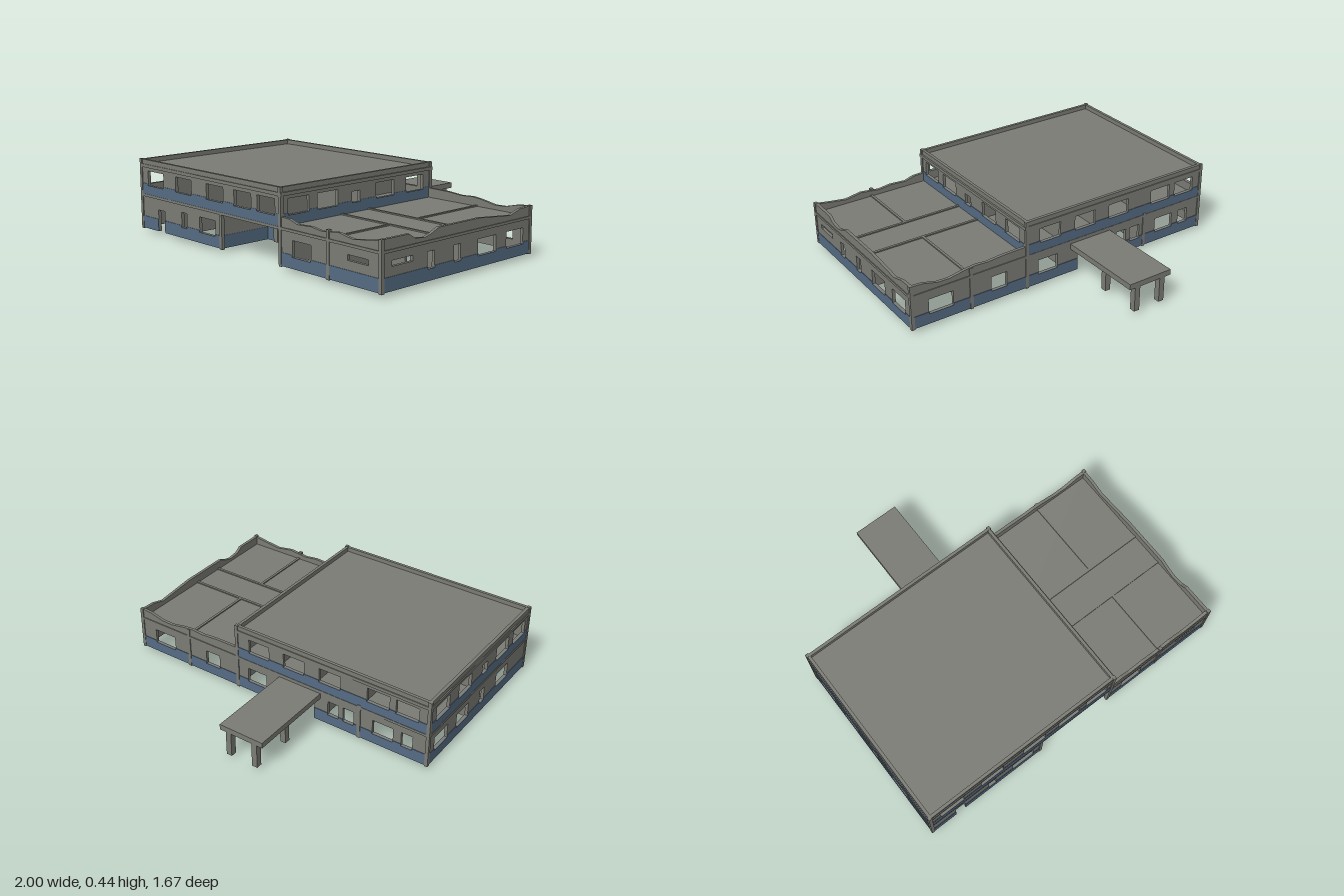
import * as THREE from 'three';
import { mergeGeometries } from 'three/addons/utils/BufferGeometryUtils.js';

const grey = new THREE.MeshStandardMaterial({ color: 0x7c7c76 });
grey.name = 'concrete grey';
const blue = new THREE.MeshStandardMaterial({ color: 0x566c84 });
blue.name = 'dado blue';

const X0 = -0.995, X1 = 0.995, XM = 0.27, Z0 = -0.305, Z1 = 0.83, T = 0.018;
const G0 = 0.025, G1 = 0.215, U0 = 0.23, U1 = 0.395; // storey heights

export function createModel() {
  const model = new THREE.Group();

  function add(name, geos, mat) {
    const mesh = new THREE.Mesh(geos.length > 1 ? mergeGeometries(geos) : geos[0], mat);
    mesh.name = name;
    model.add(mesh);
    return mesh;
  }
  const box = (x0, x1, y0, y1, z0, z1) =>
    new THREE.BoxGeometry(Math.abs(x1 - x0), y1 - y0, Math.abs(z1 - z0))
      .translate((x0 + x1) / 2, (y0 + y1) / 2, (z0 + z1) / 2);
  const along = (axis, u0, u1, y0, y1, c0, c1) =>
    axis === 'x' ? box(u0, u1, y0, y1, c0, c1) : box(c0, c1, y0, y1, u0, u1);

  // Boxes that fill a wall area around its openings [u0, u1, y0, y1]
  function pierced(axis, u0, u1, y0, y1, c0, c1, holes) {
    const cuts = [u0, u1, ...holes.flatMap(h => [h[0], h[1]])]
      .filter(u => u >= u0 && u <= u1).sort((a, b) => a - b);
    const out = [];
    for (let i = 0; i + 1 < cuts.length; i++) {
      const a = cuts[i], b = cuts[i + 1];
      if (b - a < 1e-4) continue;
      const h = holes.find(o => o[0] < (a + b) / 2 && o[1] > (a + b) / 2);
      const spans = h ? [[y0, Math.min(y1, h[2])], [Math.max(y0, h[3]), y1]] : [[y0, y1]];
      for (const [p, q] of spans) if (q - p > 1e-4) out.push(along(axis, a, b, p, q, c0, c1));
    }
    return out;
  }

  // Outer wall with a blue lower band; side is the outward direction
  function outerWall(name, axis, u0, u1, c, side, upper, holes) {
    const y0 = upper ? U0 : G0, y1 = upper ? U1 : G1, band = upper ? 0.294 : 0.097;
    add(name, pierced(axis, u0, u1, y0, y1, c - side * T, c, holes), grey);
    add(name + 'BlueBand', pierced(axis, u0, u1, y0, band, c, c + side * 0.003, holes), blue);
  }
  const win = (a, b) => [a, b, 0.085, 0.173];
  const high = (a, b) => [a, b, 0.283, 0.37];
  const slot = (a, b) => [a, b, 0.145, 0.174];
  const door = (a, b) => [a, b, G0, 0.152];

  // Ground floor shell, with an entrance recess in the front
  const RX0 = -0.235, RX1 = 0.262, RZ = 0.5;
  outerWall('frontLowerWallRight', 'x', X0, RX0, Z1, 1, false,
    [door(-0.83, -0.765), win(-0.6, -0.55), win(-0.43, -0.285)]);
  outerWall('frontLowerWallLeft', 'x', RX1, X1, Z1, 1, false, [win(0.36, 0.5), slot(0.765, 0.91)]);
  outerWall('recessBackWall', 'x', RX0, RX1, RZ, 1, false, [door(-0.045, 0.02)]);
  outerWall('recessRightWall', 'z', RZ, Z1, RX0, 1, false, []);
  outerWall('recessLeftWall', 'z', RZ, Z1, RX1, -1, false, []);
  outerWall('leftLowerWall', 'z', Z0, Z1, X1, 1, false,
    [win(-0.24, -0.1), win(-0.015, 0.13), win(0.265, 0.315), win(0.46, 0.51), slot(0.615, 0.76)]);
  outerWall('rightLowerWall', 'z', Z0, Z1, X0, -1, false,
    [win(-0.24, -0.1), win(0, 0.13), win(0.265, 0.315), win(0.46, 0.6)]);
  outerWall('backLowerWall', 'x', X0, X1, Z0, -1, false,
    [win(-0.9, -0.83), win(-0.78, -0.65), win(-0.53, -0.46), win(-0.43, -0.36), door(-0.27, -0.08),
      win(0.06, 0.19), win(0.4, 0.5), win(0.74, 0.89)]);

  // Upper floor shell
  const sideWindows = [high(-0.24, -0.1), high(0, 0.14), [0.265, 0.325, 0.283, 0.345],
    high(0.43, 0.575), high(0.635, 0.78)];
  outerWall('frontUpperWall', 'x', X0, XM, Z1, 1, true,
    [[-0.925, -0.77], [-0.65, -0.5], [-0.36, -0.21], [-0.115, 0.03], [0.08, 0.225]].map(w => high(...w)));
  outerWall('backUpperWall', 'x', X0, XM, Z0, -1, true,
    [[-0.93, -0.79], [-0.75, -0.61], [-0.44, -0.3], [-0.2, -0.06], [0.04, 0.18]].map(w => high(...w)));
  outerWall('leftUpperWall', 'z', Z0, Z1, XM, 1, true, sideWindows);
  outerWall('rightUpperWall', 'z', Z0, Z1, X0, -1, true, sideWindows);

  // Floor slab over the ground storey, roof slab and parapet over the upper one
  const e = 0.005;
  add('middleSlab', [box(X0 - e, X1 + e, G1, U0, Z0 - e, Z1 + e)], grey);
  add('roofSlab', [box(X0 - e, XM + 0.01, U1 - 0.006, 0.408, Z0 - e, Z1 + e)], grey);
  add('roofParapet', [
    box(X0, XM, 0.4, 0.435, Z1 - T, Z1), box(X0, XM, 0.4, 0.435, Z0, Z0 + T),
    box(X0, X0 + T, 0.4, 0.435, Z0, Z1), box(XM - T, XM, 0.4, 0.435, Z0, Z1)], grey);

  // Broken wing parapet: outline along u, extruded to wall thickness
  function brokenParapet(name, axis, c, pts) {
    const s = new THREE.Shape([[pts[0][0], U0], ...pts, [pts[pts.length - 1][0], U0]]
      .map(p => new THREE.Vector2(...p)));
    const g = new THREE.ExtrudeGeometry(s, { depth: T, bevelEnabled: false });
    if (axis === 'z') g.rotateY(-Math.PI / 2).translate(c, 0, 0);
    else g.translate(0, 0, c);
    add(name, [g], grey);
  }
  brokenParapet('wingFrontParapet', 'x', Z1 - T,
    [[XM, 0.283], [0.34, 0.28], [0.4, 0.262], [0.5, 0.268], [0.58, 0.258], [0.64, 0.265],
      [0.7, 0.272], [0.8, 0.255], [0.9, 0.268], [X1, 0.283]]);
  brokenParapet('wingBackParapet', 'x', Z0,
    [[XM, 0.285], [0.42, 0.283], [0.52, 0.275], [0.6, 0.28], [0.66, 0.274], [0.76, 0.256],
      [0.83, 0.258], [0.92, 0.28], [X1, 0.285]]);
  brokenParapet('wingLeftParapet', 'z', X1,
    [[Z0, 0.285], [-0.21, 0.28], [-0.13, 0.257], [0, 0.27], [0.12, 0.282], [0.43, 0.283],
      [0.49, 0.258], [0.53, 0.248], [0.6, 0.256], [0.64, 0.283], [Z1, 0.285]]);

  // Low upstands dividing the wing roof
  add('wingRoofUpstands', [
    box(XM, X1 - T, U0, 0.237, 0.19, 0.205), box(XM, X1 - T, U0, 0.237, 0.395, 0.41),
    box(0.625, 0.64, U0, 0.237, 0.41, Z1 - T), box(0.625, 0.64, U0, 0.237, Z0 + T, 0.19)], grey);

  // Corner posts and pilasters
  const post = (x, z, top) => box(x - 0.01, x + 0.01, 0.02, top, z - 0.01, z + 0.01);
  const posts = [];
  for (const z of [Z0 + 0.005, Z1 - 0.005]) {
    posts.push(post(-0.99, z, 0.437), post(XM - 0.004, z, 0.437), post(0.99, z, 0.287), post(0.628, z, 0.275));
  }
  posts.push(post(-0.564, Z0 + 0.005, 0.24), post(RX0 + 0.002, Z1 - 0.005, G1));
  for (const x of [-0.145, 0.135]) posts.push(box(x - 0.016, x + 0.016, G0, G1, RZ, RZ + 0.02));
  add('cornerPosts', posts, grey);

  // Corridor walls and room partitions on both floors
  const t = 0.012;
  const inner = (a, b, y0) => [a, b, y0, y0 + 0.12];
  for (const z of [0.19, 0.398]) {
    add('lowerCorridorWall', pierced('x', X0 + T, X1 - T, G0, G1, z, z + t,
      [inner(-0.8, -0.74, G0), inner(-0.4, -0.34, G0), inner(-0.045, 0.02, G0),
        inner(0.41, 0.455, G0), inner(0.75, 0.81, G0)]), grey);
    add('upperCorridorWall', pierced('x', X0 + T, XM - T, U0, U1, z, z + t,
      [inner(-0.905, -0.845, U0 - 0.005), inner(-0.44, -0.38, U0), inner(0, 0.06, U0)]), grey);
  }
  const partitions = [];
  for (const x of [-0.66, 0.628]) partitions.push(box(x, x + t, G0, G1, 0.41, Z1 - T));
  for (const x of [RX0 - T, RX1]) partitions.push(box(x, x + t, G0, G1, 0.41, RZ));
  for (const x of [-0.57, -0.31, -0.03, 0.262, 0.628]) partitions.push(box(x, x + t, G0, G1, Z0 + T, 0.19));
  for (const x of [-0.7, -0.43, -0.16, 0.05]) partitions.push(box(x, x + t, U0, U1, 0.41, Z1 - T));
  for (const x of [-0.57, -0.25, 0.01]) partitions.push(box(x, x + t, U0, U1, Z0 + T, 0.19));
  add('roomPartitions', partitions, grey);

  // Stair flight, with its foot just below the floor
  const flight = new THREE.Shape([[-0.86, 0], [-0.62, 0.2], [-0.62, 0.215], [-0.885, 0.02]]
    .map(p => new THREE.Vector2(...p)));
  add('stairFlight', [new THREE.ExtrudeGeometry(flight, { depth: 0.04, bevelEnabled: false })
    .translate(0, 0, 0.352)], grey);

  // Rear entrance canopy on four posts
  add('rearCanopy', [box(-0.31, -0.03, 0.172, 0.205, -0.835, Z0)], grey);
  const legs = [];
  for (const x of [-0.255, -0.085]) for (const z of [-0.815, -0.563])
    legs.push(box(x - 0.017, x + 0.017, 0.022, 0.175, z - 0.018, z + 0.018));
  add('canopyPosts', legs, grey);

  return model;
}
